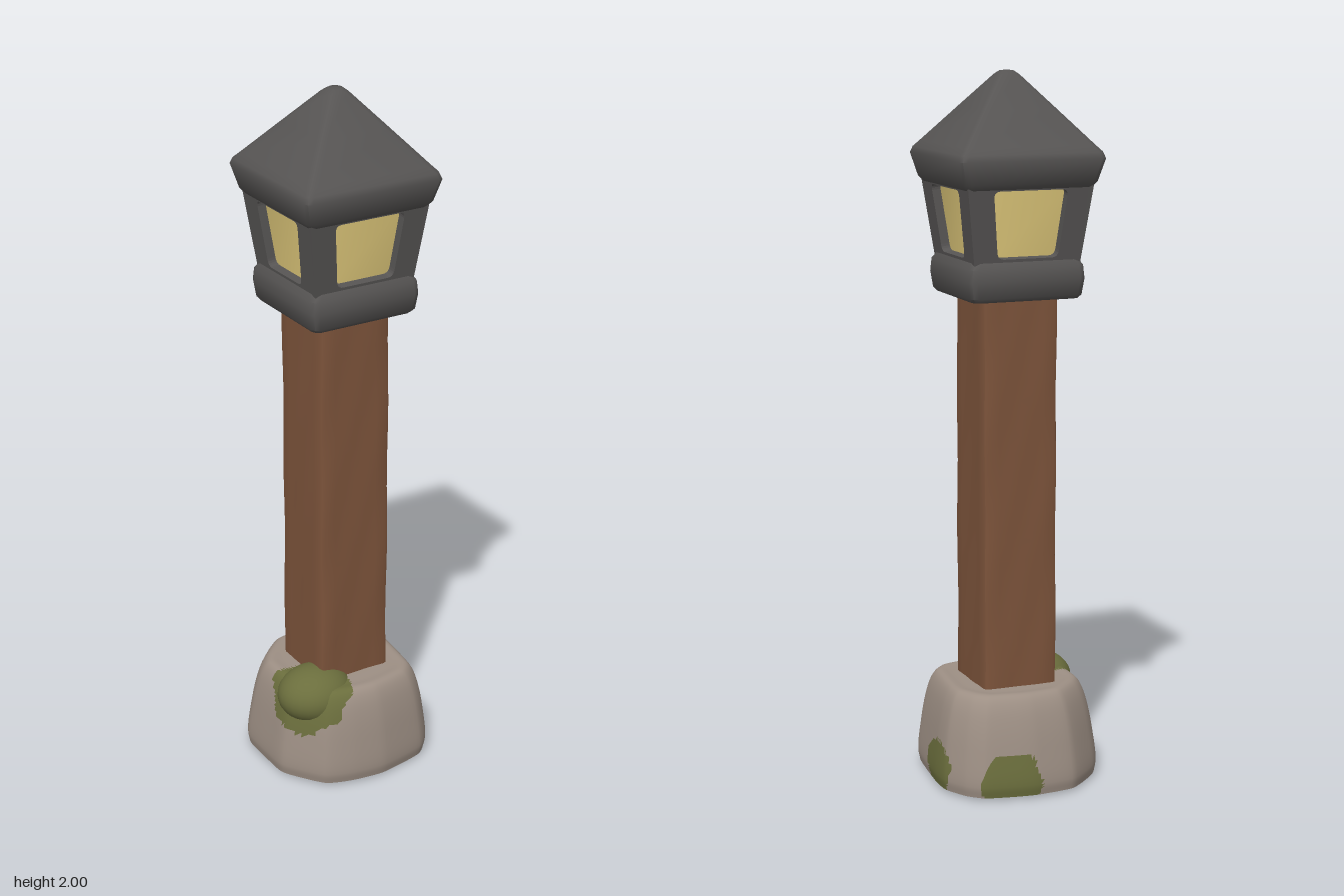
import * as THREE from 'three';
import { toCreasedNormals } from 'three/addons/utils/BufferGeometryUtils.js';

const material = (name, color, side = THREE.FrontSide) => {
  const m = new THREE.MeshStandardMaterial({ color, side });
  m.name = name;
  return m;
};

// Skin a stack of rings; faces go into one group per value of pick(centre)
function loft(rings, pick = () => 0, groupCount = 1) {
  const n = rings[0].length;
  const lists = Array.from({ length: groupCount }, () => []);
  const add = (...ids) => {
    const c = new THREE.Vector3();
    ids.forEach(i => c.add(rings[Math.floor(i / n)][i % n]));
    lists[pick(c.divideScalar(3))].push(...ids);
  };
  for (let i = 0; i < rings.length - 1; i++) {
    for (let j = 0; j < n; j++) {
      const a = i * n + j, b = i * n + (j + 1) % n;
      add(a, a + n, b);
      add(b, a + n, b + n);
    }
  }
  const geo = new THREE.BufferGeometry().setFromPoints(rings.flat());
  geo.setIndex(lists.flat());
  let start = 0;
  lists.forEach((list, k) => {
    geo.addGroup(start, list.length, k);
    start += list.length;
  });
  geo.computeVertexNormals();
  return geo;
}

// Square ring with rounded corners, half width h
function squareRing(h, y, radius = 0.02, sub = 1) {
  const r = Math.min(radius, h * 0.9), corners = [];
  [[1, 1], [-1, 1], [-1, -1], [1, -1]].forEach(([sx, sz], k) => {
    for (let s = 0; s < 3; s++) {
      const t = (k + s / 2) * Math.PI / 2;
      corners.push(new THREE.Vector3(sx * (h - r) + r * Math.cos(t), y, sz * (h - r) + r * Math.sin(t)));
    }
  });
  return corners.flatMap((p, i) => {
    const next = corners[(i + 1) % corners.length];
    const steps = i % 3 === 2 ? sub : 1;
    return Array.from({ length: steps }, (_, s) => p.clone().lerp(next, s / steps));
  });
}

const squareLoft = (profile, radius) =>
  toCreasedNormals(loft(profile.map(([h, y]) => squareRing(h, y, radius))), 0.9);

export function createModel() {
  const wood = material('wood', 0x7d543b);
  const iron = material('iron', 0x565453);
  const glow = material('glowing glass', 0xe2cb7c);
  const stone = material('stone', 0x9d8f84, THREE.DoubleSide);
  const moss = material('moss', 0x6b6e3d, THREE.DoubleSide);

  const model = new THREE.Group();
  const add = (name, geo, mat, parent = model) => {
    const mesh = new THREE.Mesh(geo, mat);
    mesh.name = name;
    parent.add(mesh);
    return mesh;
  };

  // Boulder base: an irregular outline shrunk along a rounded profile, open below
  const corners = [[-0.24, 0.02], [-0.235, -0.1], [-0.2, -0.16], [-0.11, -0.24], [0, -0.255],
    [0.06, -0.25], [0.155, -0.23], [0.2, -0.19], [0.235, -0.12], [0.238, -0.05], [0.225, 0.08],
    [0.21, 0.17], [0.16, 0.22], [0.02, 0.25], [-0.08, 0.24], [-0.16, 0.21], [-0.235, 0.1]]
    .map(([x, z]) => new THREE.Vector3(x, 0, z));
  const outline = new THREE.CatmullRomCurve3(corners, true, 'catmullrom', 0.3).getPoints(120).slice(0, -1);
  const profile = new THREE.CatmullRomCurve3(
    [[0.98, 0.008], [1, 0.04], [0.96, 0.13], [0.91, 0.2], [0.85, 0.25], [0.77, 0.28], [0.6, 0.282], [0.3, 0.282]]
      .map(([s, y]) => new THREE.Vector3(s, y, 0)));
  const baseRings = profile.getPoints(36).map(({ x: s, y }) =>
    outline.map(p => new THREE.Vector3(p.x * s, y, p.z * s + 0.03 * (y - 0.1))));
  const patches = [[-0.16, 0.27, 0.11, 0.125], [0.235, 0.055, -0.055, 0.085], [0.08, 0.05, -0.24, 0.085]];
  const mossy = c => patches.some(([x, y, z, r]) =>
    Math.hypot(c.x - x, c.y - y, c.z - z) < r * (1 + 0.06 * Math.sin(c.y * 60 + c.x * 40))) ? 1 : 0;
  add('boulderBase', loft(baseRings, mossy, 2), [stone, moss]);

  // Moss cushion resting on the boulder
  const cushion = new THREE.SphereGeometry(1, 28, 18);
  cushion.scale(0.112, 0.082, 0.1).translate(-0.118, 0.24, 0.085);
  add('mossCushion', cushion, moss);

  // Hewn square post with gentle wobble
  const postRings = [];
  for (let i = 0; i <= 24; i++) {
    const y = 0.2 + i / 24 * 1.2;
    postRings.push(squareRing(0.11, y, 0.013, 6).map(p => {
      const a = Math.atan2(p.z, p.x);
      const k = 1 + 0.018 * Math.sin(a * 5 + y * 6) * Math.sin(y * 9 + a * 2);
      return new THREE.Vector3(p.x * k, y, p.z * k);
    }));
  }
  add('post', toCreasedNormals(loft(postRings), 0.7), wood);
  add('postFoot', new THREE.BoxGeometry(0.218, 0.22, 0.218).translate(0, 0.11, 0), iron);

  // Lantern
  const lantern = new THREE.Group();
  lantern.name = 'lantern';
  model.add(lantern);
  add('lanternTray', squareLoft([[0.002, 1.384], [0.155, 1.384], [0.164, 1.395], [0.17, 1.44],
    [0.167, 1.475], [0.152, 1.498], [0.002, 1.498]], 0.02), iron, lantern);
  add('lanternGlass', squareLoft([[0.128, 1.48], [0.152, 1.71]], 0.01), glow, lantern);

  // Four outward-leaning frames, each with a rounded window
  const frame = new THREE.Shape([[-0.155, 0], [0.155, 0], [0.183, 0.215], [-0.183, 0.215]]
    .map(p => new THREE.Vector2(...p)));
  const hole = new THREE.Path();
  hole.moveTo(-0.07, 0.015);
  hole.lineTo(0.07, 0.015);
  hole.quadraticCurveTo(0.088, 0.015, 0.09, 0.035);
  hole.lineTo(0.106, 0.185);
  hole.quadraticCurveTo(0.107, 0.203, 0.09, 0.203);
  hole.lineTo(-0.09, 0.203);
  hole.quadraticCurveTo(-0.107, 0.203, -0.106, 0.185);
  hole.lineTo(-0.09, 0.035);
  hole.quadraticCurveTo(-0.088, 0.015, -0.07, 0.015);
  frame.holes.push(hole);
  const frameGeo = new THREE.ExtrudeGeometry(frame, { depth: 0.025, bevelEnabled: false, curveSegments: 5 });
  frameGeo.translate(0, 0, -0.025).rotateX(Math.atan(0.028 / 0.215)).translate(0, 1.485, 0.155);
  for (let k = 0; k < 4; k++) {
    add('windowFrame', frameGeo, iron, lantern).rotation.y = k * Math.PI / 2;
  }

  // Pyramid roof with a thick rim and blunt tip
  add('roof', squareLoft([[0.002, 1.69], [0.183, 1.69], [0.195, 1.705], [0.212, 1.768], [0.206, 1.785],
    [0.19, 1.803], [0.11, 1.897], [0.032, 1.988], [0.02, 1.998], [0.001, 2]], 0.018), iron, lantern);

  return model;
}
